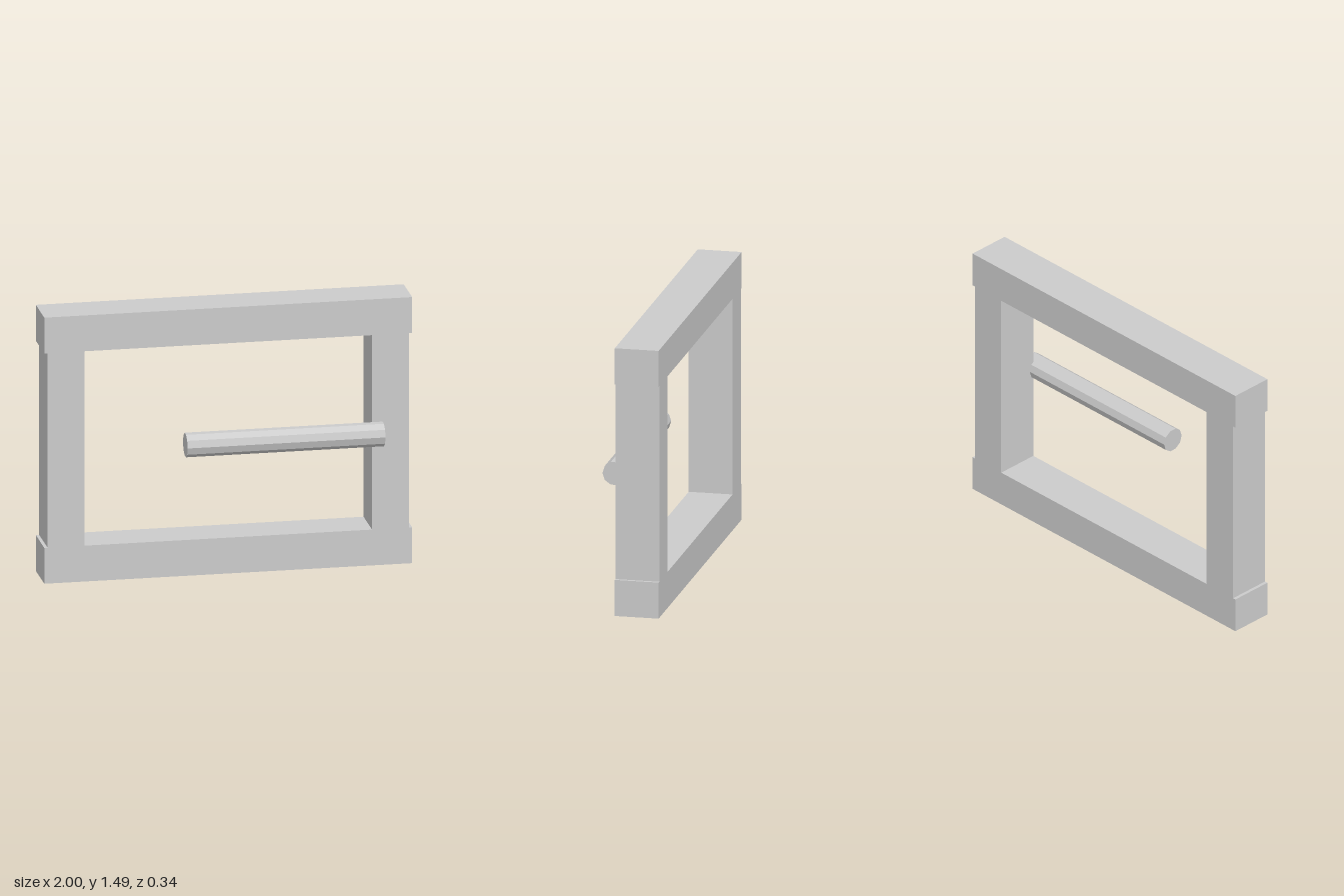
import * as THREE from 'three';

export function createModel() {
  const group = new THREE.Group();
  const material = new THREE.MeshStandardMaterial({ color: 0xcccccc, flatShading: true });

  const add = (name, geometry, x, y, z) => {
    const mesh = new THREE.Mesh(geometry, material);
    mesh.name = name;
    mesh.position.set(x, y, z);
    group.add(mesh);
    return mesh;
  };

  const height = 1.485, bar = 0.2, depth = 0.24, frameZ = -0.052;

  // Full-width rails at the bottom and top
  const rail = new THREE.BoxGeometry(2, bar, depth);
  add('bottomRail', rail, 0, bar / 2, frameZ);
  add('topRail', rail, 0, height - bar / 2, frameZ);

  // Side posts, set in slightly from the rail ends
  const post = new THREE.BoxGeometry(bar, height - 2 * bar, depth);
  for (const [name, side] of [['leftPost', 1], ['rightPost', -1]]) {
    add(name, post, side * 0.882, height / 2, frameZ);
  }

  // Ten-sided handle bar, partly sunk into the left post
  const handle = add('handleBar', new THREE.CylinderGeometry(0.066, 0.066, 1.076, 10), 0.297, height / 2, 0.107);
  handle.rotation.z = Math.PI / 2;

  return group;
}
